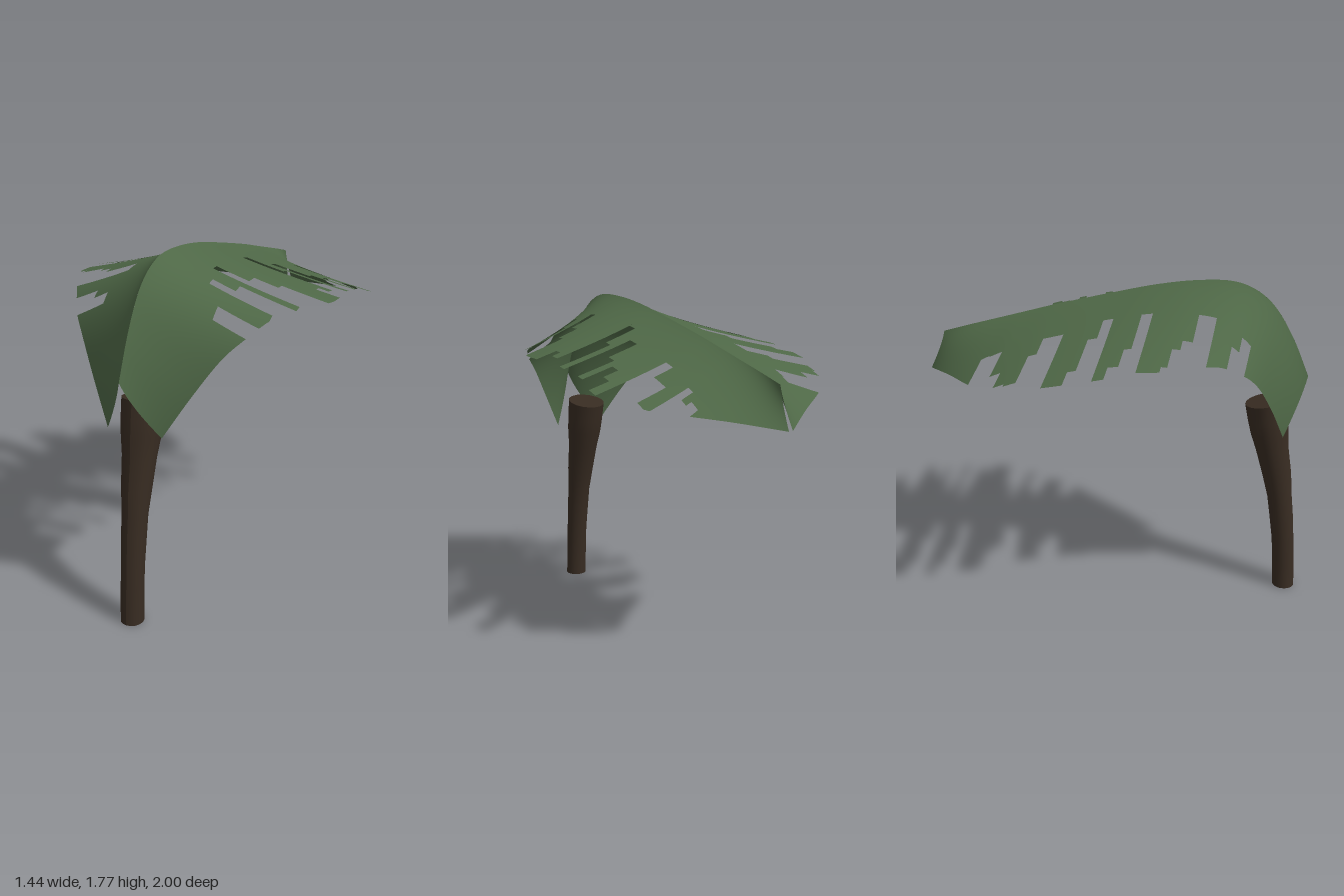
import * as THREE from 'three';

const CENTRE = 0.02;

// Leaf stations along the midrib: z, ridge height, half width, edge droop, backward sweep of the edge
const STATIONS = [
  [-0.92, 1.463, 0.012, 0.203, 0.08], [-0.77, 1.505, 0.23, 0.2, 0.08], [-0.62, 1.545, 0.46, 0.2, 0.08],
  [-0.5, 1.577, 0.62, 0.2, 0.08], [-0.32, 1.625, 0.71, 0.2, 0.08], [0, 1.7, 0.74, 0.21, 0.08],
  [0.2, 1.742, 0.71, 0.225, 0.08], [0.4, 1.767, 0.65, 0.245, 0.08], [0.58, 1.765, 0.53, 0.265, 0.08],
  [0.7, 1.72, 0.46, 0.28, 0.085], [0.8, 1.63, 0.37, 0.285, 0.095], [0.9, 1.465, 0.26, 0.29, 0.11],
  [0.985, 1.27, 0.145, 0.29, 0.12],
];

// Torn strips on each side, from back to front: where the strip ends in z, and how far out it reaches
const STRIPS = {
  right: [[-0.62, 1], [-0.58, 0.28], [-0.52, 0.29], [-0.47, 0.49], [-0.42, 0.61], [-0.36, 0.63], [-0.32, 0.41],
    [-0.22, 0.28], [-0.12, 1], [-0.08, 0.63], [-0.035, 0.37], [0.015, 0.22], [0.07, 1], [0.12, 0.64],
    [0.155, 0.5], [0.21, 0.22], [0.32, 0.69], [0.35, 0.64], [0.39, 0.5], [0.44, 0.43], [0.53, 0.23],
    [0.63, 1], [0.67, 0.36], [0.72, 0.27], [0.985, 1]],
  left: [[-0.67, 1], [-0.63, 0.33], [-0.6, 0.365], [-0.57, 0.29], [-0.51, 0.555], [-0.42, 0.38], [-0.365, 0.26],
    [-0.31, 0.69], [-0.26, 0.57], [-0.21, 0.48], [-0.17, 0.66], [-0.12, 0.44], [-0.06, 0.26], [-0.02, 0.67],
    [0.02, 0.36], [0.07, 0.17], [0.12, 0.63], [0.16, 0.58], [0.29, 0.7], [0.33, 0.46], [0.39, 0.34],
    [0.43, 0.18], [0.47, 0.6], [0.52, 0.33], [0.56, 0.22], [0.65, 0.52], [0.71, 0.3], [0.985, 1]],
};

// Smooth interpolation of one station column
function station(z, col) {
  const n = STATIONS.length;
  let i = 0;
  while (i < n - 2 && z > STATIONS[i + 1][0]) i++;
  const slope = (k) => {
    const a = STATIONS[Math.max(k - 1, 0)], b = STATIONS[Math.min(k + 1, n - 1)];
    return (b[col] - a[col]) / (b[0] - a[0]);
  };
  const a = STATIONS[i], b = STATIONS[i + 1], h = b[0] - a[0], t = (z - a[0]) / h;
  const t2 = t * t, t3 = t2 * t;
  return (2 * t3 - 3 * t2 + 1) * a[col] + (t3 - 2 * t2 + t) * h * slope(i)
    + (3 * t2 - 2 * t3) * b[col] + (t3 - t2) * h * slope(i + 1);
}

// Cross-section: steep beside the midrib, flatter towards the edge
const SOFT = 0.03, POWER = 0.75;
const droop = (u) => ((u + SOFT) ** POWER - SOFT ** POWER) / ((1 + SOFT) ** POWER - SOFT ** POWER);

function leafPoint(z, u, side) {
  return new THREE.Vector3(
    CENTRE + side * u * station(z, 2),
    station(z, 1) - station(z, 3) * droop(u),
    z - station(z, 4) * u,
  );
}

function leafNormal(z, u, side) {
  const e = 0.004;
  const dz = leafPoint(z + e, u, side).sub(leafPoint(z - e, u, side));
  const du = leafPoint(z, u + e, side).sub(leafPoint(z, Math.max(u - e, 0), side));
  return dz.cross(du).multiplyScalar(side).normalize();
}

function halfLeaf(side, strips) {
  const columns = [0, 0.03, 0.07, 0.12, 0.18, 0.25, 0.35, 0.45, 0.55, 0.65, 0.75, 0.85, 0.93, 1];
  const positions = [], normals = [], index = [];
  let start = STATIONS[0][0];
  for (const [end, reach] of strips) {
    const rows = Math.max(2, Math.ceil((end - start) / 0.02));
    const base = positions.length / 3;
    for (let r = 0; r <= rows; r++) {
      const z = start + (end - start) * r / rows;
      const limit = Math.min(1, reach / station(z, 2));
      for (const c of columns) {
        const u = Math.min(c, limit);
        positions.push(...leafPoint(z, u, side).toArray());
        normals.push(...leafNormal(z, u, side).toArray());
      }
    }
    const w = columns.length;
    for (let r = 0; r < rows; r++) {
      for (let c = 0; c < w - 1; c++) {
        const a = base + r * w + c, b = a + 1, d = a + w, e = d + 1;
        if (side > 0) index.push(a, d, b, b, d, e);
        else index.push(a, b, d, b, e, d);
      }
    }
    start = end;
  }
  const geometry = new THREE.BufferGeometry();
  geometry.setAttribute('position', new THREE.Float32BufferAttribute(positions, 3));
  geometry.setAttribute('normal', new THREE.Float32BufferAttribute(normals, 3));
  geometry.setIndex(index);
  return geometry;
}

// Stalk: rings of y, z, radius, leaning back and widening towards the top
function stalkGeometry() {
  const rings = [[0.005, 0.938, 0.06], [0.15, 0.93, 0.06], [0.3, 0.918, 0.06], [0.45, 0.9, 0.064],
    [0.57, 0.883, 0.066], [0.7, 0.86, 0.077], [0.85, 0.826, 0.086], [0.95, 0.806, 0.099],
    [1.03, 0.792, 0.104], [1.125, 0.775, 0.106]];
  const sides = 16;
  const geometry = new THREE.CylinderGeometry(1, 1, 1, sides, rings.length - 1);
  const p = geometry.attributes.position;
  for (let i = 0; i < p.count; i++) {
    const k = Math.round((p.getY(i) + 0.5) * (rings.length - 1));
    const [y, z, r] = rings[k];
    const tilt = 0.2 * k / (rings.length - 1);
    const x = p.getX(i) * r * 0.97, d = p.getZ(i) * r;
    p.setXYZ(i, CENTRE + x, y + d * tilt, z + d);
  }
  geometry.computeVertexNormals();
  return geometry;
}

export function createModel() {
  const leafGreen = new THREE.MeshStandardMaterial({ color: 0x4e6746, side: THREE.DoubleSide });
  leafGreen.name = 'leafGreen';
  const stalkBrown = new THREE.MeshStandardMaterial({ color: 0x382c22 });
  stalkBrown.name = 'stalkBrown';

  const model = new THREE.Group();
  model.name = 'tornLeafPlant';
  const add = (name, geometry, material) => {
    const mesh = new THREE.Mesh(geometry, material);
    mesh.name = name;
    model.add(mesh);
  };
  add('leftLeafHalf', halfLeaf(1, STRIPS.left), leafGreen);
  add('rightLeafHalf', halfLeaf(-1, STRIPS.right), leafGreen);
  add('stalk', stalkGeometry(), stalkBrown);
  return model;
}
